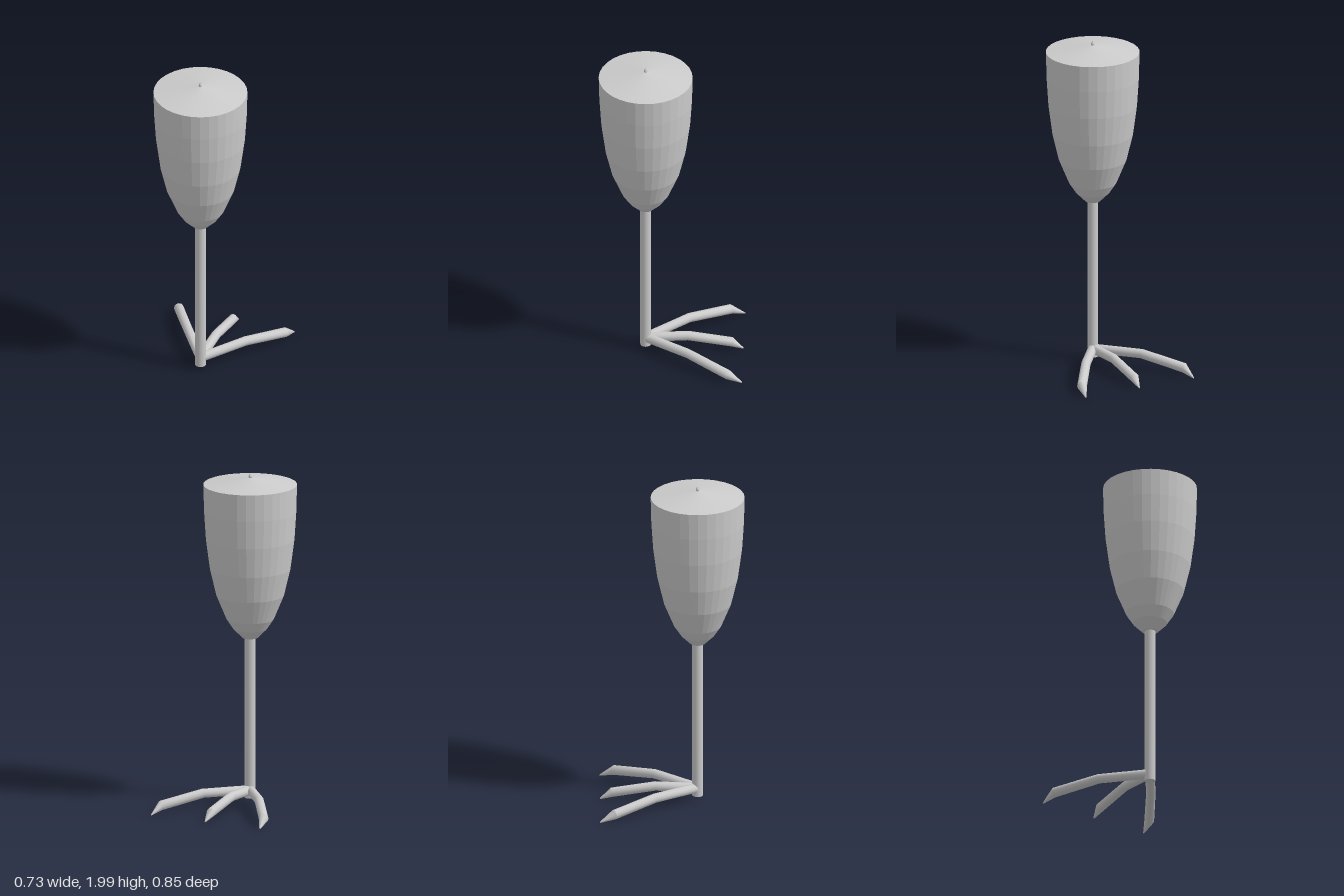
import * as THREE from 'three';
import { toCreasedNormals } from 'three/addons/utils/BufferGeometryUtils.js';

const CX = 0.005, CZ = 0.15;

function lathe(points, sides) {
  return new THREE.LatheGeometry(points.map(([r, y]) => new THREE.Vector2(r, y)), sides);
}

// Round limb lofted through [x, y, z, radius] stations, closed at both ends
function limb(stations, sides = 12) {
  const pts = stations.map(([x, y, z]) => new THREE.Vector3(x, y, z));
  const pos = [], idx = [];
  pts.forEach((p, i) => {
    // the tip ring keeps the direction of the shaft before it
    const last = pts.length - 2;
    const a = pts[Math.max(0, Math.min(i, last) - 1)], b = pts[Math.min(i + 1, last)];
    const dir = b.clone().sub(a).normalize();
    const u = new THREE.Vector3(0, 1, 0).cross(dir).normalize();
    const v = dir.clone().cross(u);
    for (let k = 0; k < sides; k++) {
      const t = k / sides * Math.PI * 2, r = stations[i][3];
      const q = p.clone().addScaledVector(u, r * Math.cos(t)).addScaledVector(v, r * Math.sin(t));
      pos.push(q.x, q.y, q.z);
    }
  });
  for (let i = 0; i < pts.length - 1; i++) {
    for (let k = 0; k < sides; k++) {
      const a = i * sides + k, b = i * sides + (k + 1) % sides;
      idx.push(a, b, b + sides, a, b + sides, a + sides);
    }
  }
  const end = (pts.length - 1) * sides;
  for (let k = 1; k < sides - 1; k++) idx.push(0, k + 1, k, end, end + k, end + k + 1);
  const g = new THREE.BufferGeometry();
  g.setAttribute('position', new THREE.Float32BufferAttribute(pos, 3));
  g.setIndex(idx);
  return toCreasedNormals(g, 0.6);
}

export function createModel() {
  const model = new THREE.Group();
  const smooth = new THREE.MeshStandardMaterial({ color: 0xcccccc });
  const flat = new THREE.MeshStandardMaterial({ color: 0xcccccc, flatShading: true });
  const add = (name, geometry, material, x = 0, y = 0, z = 0) => {
    const mesh = new THREE.Mesh(geometry, material);
    mesh.name = name;
    mesh.position.set(x, y, z);
    model.add(mesh);
  };

  // Faceted cup body, shallow lid and finial
  add('cup', lathe([[0, 1], [0.045, 1], [0.1, 1.055], [0.14, 1.115], [0.2, 1.26], [0.238, 1.42],
    [0.262, 1.6], [0.273, 1.77], [0.277, 1.93]], 32), flat, CX, 0, CZ);
  add('lid', lathe([[0.277, 1.93], [0, 1.972]], 32), smooth, CX, 0, CZ);
  add('finial', lathe([[0, 1.966], [0.008, 1.969], [0.011, 1.976], [0.008, 1.985], [0.003, 1.995],
    [0, 2]], 16), smooth, CX, 0, CZ);

  // Slender leg
  add('leg', new THREE.CylinderGeometry(0.032, 0.032, 0.98, 24), smooth, CX, 0.52, CZ);

  // Three bent toes reaching backwards, each ending in a pointed claw
  add('middleToe', limb([[CX, 0.077, CZ, 0.028], [0, 0.09, -0.1, 0.028],
    [0, 0.05, -0.358, 0.028], [0.003, 0.009, -0.425, 0.004]]), smooth);
  for (const [name, s] of [['leftToe', 1], ['rightToe', -1]]) {
    add(name, limb([[CX, 0.077, CZ, 0.028], [s * 0.187, 0.09, -0.103, 0.028],
      [s * 0.342, 0.05, -0.342, 0.029], [s * 0.361, 0.009, -0.425, 0.004]]), smooth);
  }
  return model;
}
